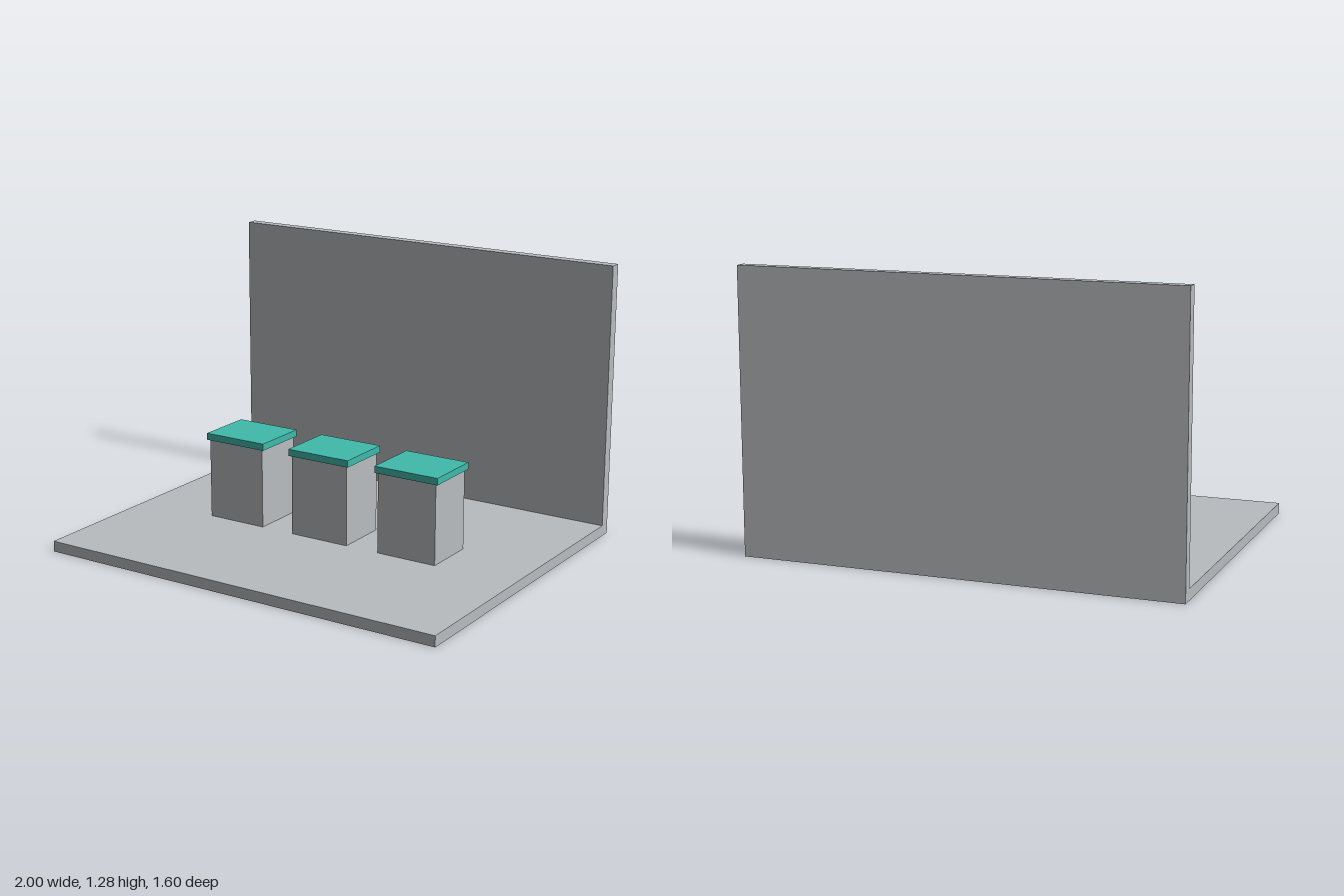
import * as THREE from 'three';

export function createModel() {
  const model = new THREE.Group();
  const grey = new THREE.MeshStandardMaterial({ color: 0xb8bcbf });
  grey.name = 'light grey';
  const teal = new THREE.MeshStandardMaterial({ color: 0x3fbaab });
  teal.name = 'teal';

  // Box standing on height y, centred on x and z
  function addBox(parent, name, material, [w, h, d], [x, y, z]) {
    const mesh = new THREE.Mesh(new THREE.BoxGeometry(w, h, d), material);
    mesh.name = name;
    mesh.position.set(x, y + h / 2, z);
    parent.add(mesh);
  }

  // Floor slab and the back wall standing on its rear edge
  const floorHeight = 0.05, wallDepth = 0.053;
  addBox(model, 'floor', grey, [2, floorHeight, 1.6], [0, 0, 0]);
  addBox(model, 'backWall', grey, [2, 1.28 - floorHeight, wallDepth], [0, floorHeight, -0.8 + wallDepth / 2]);

  // Row of three pedestals with overhanging tops
  for (const [name, x] of [['right', -0.46], ['middle', 0], ['left', 0.46]]) {
    const pedestal = new THREE.Group();
    pedestal.name = name + 'Pedestal';
    pedestal.position.x = x;
    addBox(pedestal, 'pedestalBody', grey, [0.295, 0.375, 0.255], [0, floorHeight, 0]);
    addBox(pedestal, 'pedestalTop', teal, [0.32, 0.032, 0.273], [0, 0.425, 0]);
    model.add(pedestal);
  }

  return model;
}
